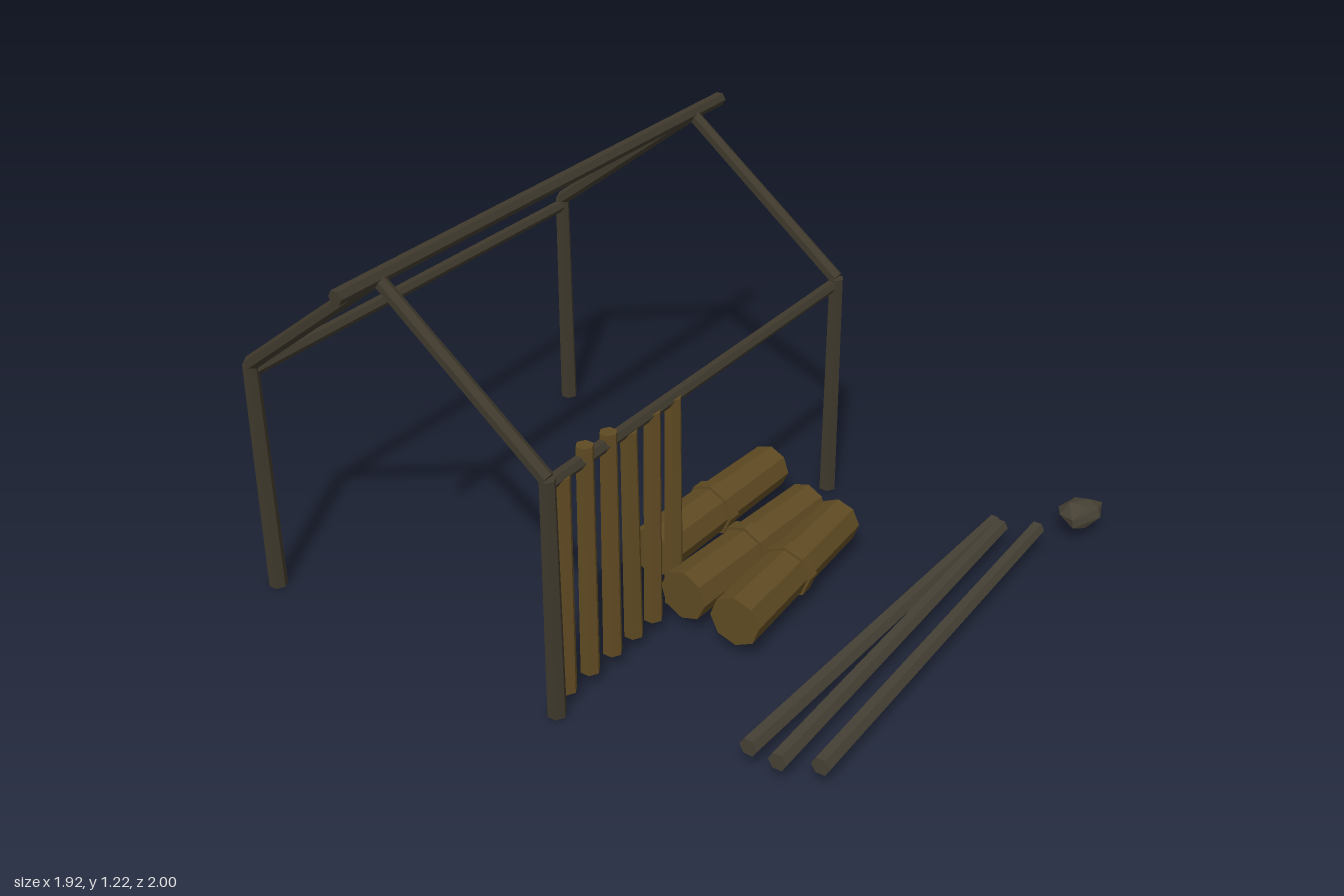
import * as THREE from 'three';
import { ConvexGeometry } from 'three/addons/geometries/ConvexGeometry.js';

const mat = (name, color) => {
  const m = new THREE.MeshStandardMaterial({ color, flatShading: true });
  m.name = name;
  return m;
};

export function createModel() {
  const group = new THREE.Group();
  const darkWood = mat('darkWood', 0x3f392c);
  const greyWood = mat('greyWood', 0x454034);
  const straw = mat('straw', 0x5f4a22);
  const stoneGrey = mat('stone', 0x474235);
  const v = (p) => new THREE.Vector3(...p);

  // A tapered faceted log from a (radius ra) to b (radius rb)
  function log(name, a, b, ra, rb, material, sides = 6) {
    const start = v(a), end = v(b), dir = end.clone().sub(start);
    const mesh = new THREE.Mesh(new THREE.CylinderGeometry(rb, ra, dir.length(), sides), material);
    mesh.name = name;
    mesh.position.copy(start).add(end).multiplyScalar(0.5);
    mesh.quaternion.setFromUnitVectors(new THREE.Vector3(0, 1, 0), dir.normalize());
    group.add(mesh);
  }

  const left = -0.807, right = 0.645, front = 0.123, back = -0.972, ridgeZ = -0.428;

  // Posts and rafters
  for (const x of [left, right]) {
    for (const z of [front, back]) {
      log('post', [x, 0, z], [x, 0.775, z], 0.029, 0.024, darkWood);
      log('rafter', [x, 0.775, z], [x, 1.2, ridgeZ], 0.023, 0.021, darkWood);
    }
  }

  // Long beams
  for (const z of [front - 0.008, back]) {
    log('eaveBeam', [left, 0.75, z], [right, 0.75, z], 0.021, 0.02, darkWood);
  }
  log('ridgeBeam', [-0.965, 1.205, ridgeZ], [0.8, 1.205, ridgeZ], 0.023, 0.022, darkWood);

  // Unfinished front wall: bottom x, top x, top height
  const stakes = [
    [-0.752, -0.742, 0.75], [-0.646, -0.641, 0.795], [-0.54, -0.537, 0.785],
    [-0.438, -0.446, 0.745], [-0.341, -0.336, 0.755], [-0.235, -0.237, 0.755],
  ];
  for (const [x0, x1, top] of stakes) {
    log('wallStake', [x0, 0.05, 0.118], [x1, top, 0.118], 0.03, 0.026, straw);
  }

  // Bundles with a tie band: left z, right z, left x, band x
  const bundles = [
    [-0.02, 0.005, -0.162, 0.155], [0.19, 0.227, -0.291, 0.022], [0.386, 0.355, -0.311, 0.003],
  ];
  for (const [z0, z1, x0, bx] of bundles) {
    const x1 = x0 + 0.633, slope = (z1 - z0) / 0.633;
    const at = (x) => [x, 0.13, z0 + slope * (x - x0)];
    log('bundle', at(x0), at(x1), 0.082, 0.073, straw, 8);
    log('bundleTie', at(bx - 0.021), at(bx + 0.021), 0.087, 0.087, straw, 8);
  }

  // Loose poles on the ground: left x, left z, right x, right z
  for (const [x0, z0, x1, z1] of [
    [-0.7, 0.69, 0.66, 0.73], [-0.705, 0.785, 0.65, 0.757], [-0.655, 0.888, 0.703, 0.857],
  ]) {
    log('loosePole', [x0, 0.08, z0], [x1, 0.08, z1], 0.029, 0.025, greyWood);
  }

  // Faceted stone
  const stone = new THREE.Mesh(new ConvexGeometry([
    [0.78, 0.07, 0.945], [0.78, 0.1, 0.94], [0.81, 0.085, 0.885], [0.86, 0.08, 0.858],
    [0.91, 0.1, 0.89], [0.96, 0.075, 0.935], [0.955, 0.085, 0.965], [0.875, 0.08, 0.995],
    [0.84, 0.12, 0.9], [0.845, 0.122, 0.96], [0.9, 0.118, 0.945], [0.875, 0.11, 0.985],
    [0.82, 0.053, 0.92], [0.83, 0.053, 0.965], [0.93, 0.055, 0.96], [0.9, 0.053, 0.895],
  ].map(v)), stoneGrey);
  stone.name = 'stone';
  group.add(stone);

  return group;
}
